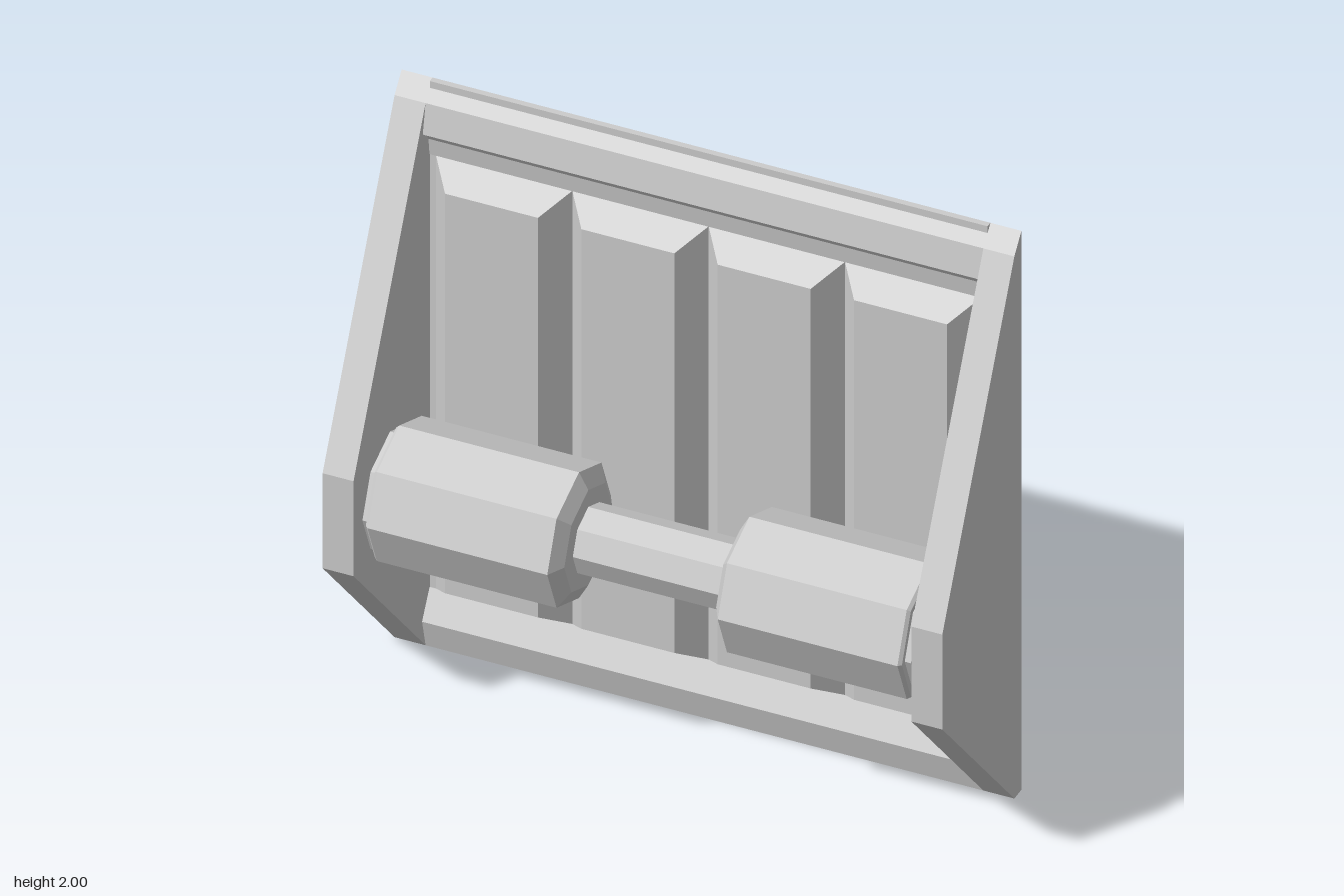
import * as THREE from 'three';

const material = new THREE.MeshStandardMaterial({ color: 0xcccccc, flatShading: true });

function add(group, name, geometry, x = 0, y = 0, z = 0) {
  const mesh = new THREE.Mesh(geometry, material);
  mesh.name = name;
  mesh.position.set(x, y, z);
  group.add(mesh);
  return mesh;
}

// Extrudes a (z, y) outline along x, from x0 to x1.
function extrudeX(points, x0, x1) {
  const shape = new THREE.Shape(points.map(([z, y]) => new THREE.Vector2(z, y)));
  const geometry = new THREE.ExtrudeGeometry(shape, { depth: x1 - x0, bevelEnabled: false });
  return geometry.rotateY(-Math.PI / 2).translate(x1, 0, 0);
}

// Raised panel: a box whose front face is drawn in on all four sides.
function bevelledPanel(w, h, d, insetX, insetY) {
  const geometry = new THREE.BoxGeometry(w, h, d);
  const p = geometry.attributes.position;
  for (let i = 0; i < p.count; i++) {
    if (p.getZ(i) < 0) continue;
    p.setX(i, p.getX(i) - Math.sign(p.getX(i)) * insetX);
    p.setY(i, p.getY(i) - Math.sign(p.getY(i)) * insetY);
  }
  return geometry;
}

// Eight-sided turned solid along x; profile points are (radius, x).
function turned(points, mirrored) {
  const geometry = new THREE.LatheGeometry(points.map(([r, x]) => new THREE.Vector2(r, x)), 8);
  return geometry.rotateZ(mirrored ? Math.PI / 2 : -Math.PI / 2);
}

export function createModel() {
  const model = new THREE.Group();
  model.name = 'wallMountedRoller';

  // Back plate
  add(model, 'backPlate', new THREE.BoxGeometry(1.8, 2, 0.02), 0, 1, -0.27);

  // Tapered side walls
  const wall = [[-0.28, 0], [-0.23, 0], [0.28, 0.57], [0.28, 0.91], [-0.23, 1.94], [-0.28, 2]];
  add(model, 'leftWall', extrudeX(wall, 0.9, 1));
  add(model, 'rightWall', extrudeX(wall, -1, -0.9));

  // Rails closing the recess above and below
  add(model, 'topRail', extrudeX([
    [-0.28, 1.74], [-0.258, 1.74], [-0.25, 1.8], [-0.23, 1.83], [-0.21, 1.84], [-0.23, 1.94], [-0.28, 2],
  ], -0.9, 0.9));
  add(model, 'bottomRail', extrudeX([
    [-0.28, 0], [-0.23, 0], [-0.205, 0.1], [-0.258, 0.19], [-0.28, 0.19],
  ], -0.9, 0.9));

  // Four raised panels on the back
  for (let i = 0; i < 4; i++) {
    add(model, 'backPanel', bevelledPanel(0.44, 1.55, 0.09, 0.07, 0.06), -0.66 + i * 0.44, 0.965, -0.215);
  }

  // Roller assembly across the recess
  const roller = new THREE.Group();
  roller.name = 'rollerAssembly';
  roller.position.set(0, 0.755, 0.055);
  model.add(roller);
  add(roller, 'axle', turned([[0.11, -0.9], [0.11, 0.9]], false));
  for (const mirrored of [false, true]) {
    add(roller, mirrored ? 'rightWeight' : 'leftWeight', turned([
      [0, 0.245], [0.17, 0.245], [0.225, 0.275], [0.225, 0.855], [0.215, 0.865],
      [0.195, 0.865], [0.195, 0.885], [0, 0.885],
    ], mirrored));
  }
  return model;
}
